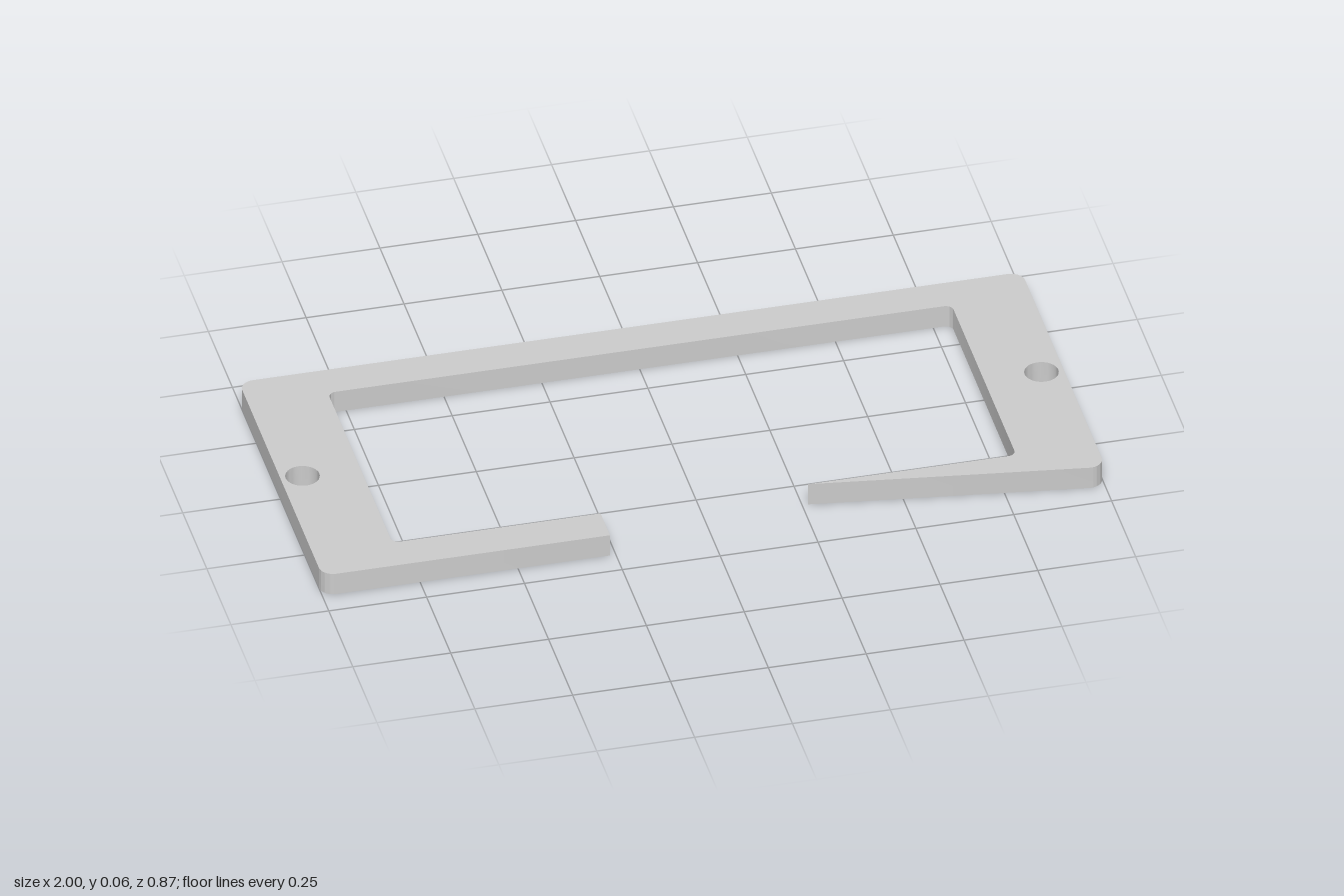
import * as THREE from 'three';
import { toCreasedNormals } from 'three/addons/utils/BufferGeometryUtils.js';

const W = 1, D = 0.433, R = 0.036;        // outer half width, half depth, corner radius
const w = 0.797, d = 0.335, r = 0.02;     // inner opening
const GAP = 0.265, THICK = 0.061;         // half width of the front gap, plate thickness
const HOLE_X = 0.944, HOLE_R = 0.043;     // screw holes

export function createModel() {
  const group = new THREE.Group();
  const q = Math.PI / 2;

  // C-shaped outline: around the outside, then back along the inside
  const shape = new THREE.Shape();
  const corners = [[1, -1], [1, 1], [-1, 1], [-1, -1]];
  shape.moveTo(GAP, -D);
  corners.forEach(([sx, sy], i) =>
    shape.absarc(sx * (W - R), sy * (D - R), R, (i - 1) * q, i * q, false));
  shape.lineTo(-GAP, -D);
  shape.lineTo(-GAP, -d);
  for (let i = 3; i >= 0; i--) {
    const [sx, sy] = corners[i];
    shape.absarc(sx * (w - r), sy * (d - r), r, i * q, (i - 1) * q, true);
  }
  shape.lineTo(GAP, -d);
  shape.closePath();

  // Screw hole in each end
  for (const side of [-1, 1]) {
    const hole = new THREE.Path();
    hole.absarc(side * HOLE_X, 0, HOLE_R, 0, Math.PI * 2, true);
    shape.holes.push(hole);
  }

  // Flat plate lying on the ground, gap towards the front
  const plate = new THREE.ExtrudeGeometry(shape, { depth: THICK, bevelEnabled: false, curveSegments: 16 });
  plate.rotateX(-q);
  const frame = new THREE.Mesh(
    toCreasedNormals(plate, 0.6),
    new THREE.MeshStandardMaterial({ color: 0xcccccc }));
  frame.name = 'mountingFrame';
  group.add(frame);
  return group;
}
